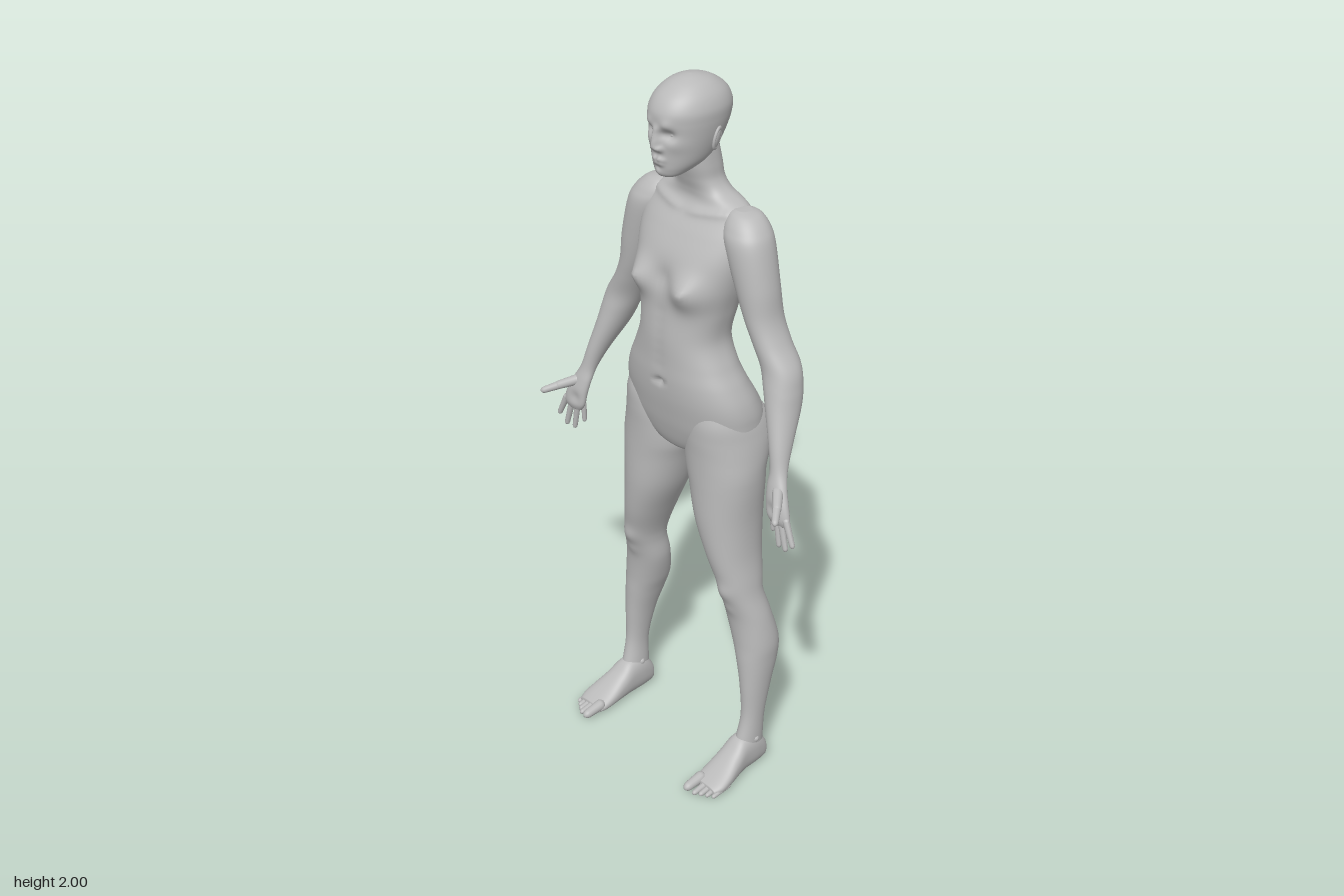
import * as THREE from 'three';

const skin = new THREE.MeshStandardMaterial({ color: 0xbababa });
skin.name = 'plain grey';

// Catmull-Rom blend of four numbers
const blend = (a, b, c, d, t) =>
  0.5 * (2 * b + (c - a) * t + (2 * a - 5 * b + 4 * c - d) * t * t + (3 * b - a - 3 * c + d) * t * t * t);

// Skins a row of rounded sections [height, x0, x1, front, back].
// axis 'y': rings lie flat and front/back are z; axis 'z': rings stand up and front/back are top/bottom y.
// bumps: [face (1 front, -1 back), x, height, radius, push], applied on both halves.
function loft(name, sections, { side = 1, axis = 'y', power = 2.1, seg = 48, steps = 7, bumps = [] } = {}) {
  const pos = [], index = [], rows = [];
  const at = (i) => sections[Math.min(Math.max(i, 0), sections.length - 1)];
  for (let i = 0; i < sections.length - 1; i++) {
    for (let k = 0; k < steps; k++) {
      rows.push(at(i).map((_, c) => blend(at(i - 1)[c], at(i)[c], at(i + 1)[c], at(i + 2)[c], k / steps)));
    }
  }
  rows.push(at(sections.length));
  const put = (x, s, d) => (axis === 'y' ? pos.push(side * x, s, d) : pos.push(side * x, d, s));
  const round = (v) => Math.sign(v) * Math.abs(v) ** (2 / power);
  for (const [s, x0, x1, f, b] of rows) {
    for (let j = 0; j < seg; j++) {
      const angle = (j / seg) * Math.PI * 2, sin = Math.sin(angle);
      const x = (x0 + x1) / 2 + ((x1 - x0) / 2) * round(Math.cos(angle));
      let d = (f + b) / 2 + ((f - b) / 2) * round(sin);
      for (const [face, bx, bs, r, push] of bumps) {
        const q = ((Math.abs(x) - bx) ** 2 + (s - bs) ** 2) / (r * r);
        if (q < 9 && face * sin > 0) d += face * push * Math.exp(-q) * Math.min(1, 2 * face * sin);
      }
      put(x, s, d);
    }
  }
  const first = rows[0], last = rows[rows.length - 1];
  const flip = (last[0] > first[0]) === (axis === 'y') ? side > 0 : side < 0;
  const tri = (a, b, c) => (flip ? index.push(a, c, b) : index.push(a, b, c));
  const n = rows.length, start = n * seg, end = start + 1;
  for (const [s, x0, x1, f, b] of [first, last]) put((x0 + x1) / 2, s, (f + b) / 2);
  for (let j = 0; j < seg; j++) {
    const k = (j + 1) % seg;
    for (let i = 0; i < n - 1; i++) {
      const a = i * seg + j, b = i * seg + k;
      tri(a, b, a + seg);
      tri(b, b + seg, a + seg);
    }
    tri(start, k, j);
    tri(end, (n - 1) * seg + j, (n - 1) * seg + k);
  }
  const geo = new THREE.BufferGeometry();
  geo.setAttribute('position', new THREE.Float32BufferAttribute(pos, 3));
  geo.setIndex(index);
  geo.computeVertexNormals();
  return named(name, geo);
}

function named(name, geo) {
  const mesh = new THREE.Mesh(geo, skin);
  mesh.name = name;
  return mesh;
}

// Tapered finger or toe between two points
function digit(name, from, to, r, side) {
  const a = new THREE.Vector3(side * from[0], from[1], from[2]);
  const b = new THREE.Vector3(side * to[0], to[1], to[2]);
  const len = a.distanceTo(b);
  const geo = new THREE.CapsuleGeometry(r, Math.max(len - r, 0.001), 6, 14, 6);
  const p = geo.attributes.position;
  for (let i = 0; i < p.count; i++) {
    const k = 1 - 0.22 * (p.getY(i) / len + 0.5);
    p.setXYZ(i, p.getX(i) * k, p.getY(i), p.getZ(i) * k);
  }
  geo.computeVertexNormals();
  const mesh = named(name, geo);
  mesh.position.copy(a).lerp(b, 0.5);
  mesh.quaternion.setFromUnitVectors(new THREE.Vector3(0, 1, 0), b.sub(a).normalize());
  return mesh;
}

// Symmetric section: half width, front, back
const even = (list) => list.map(([y, w, f, b]) => [y, -w, w, f, b]);

function makeTorso() {
  const bumps = [
    [1, 0.085, 1.465, 0.045, 0.032], [1, 0.087, 1.468, 0.01, 0.006],   // chest
    [1, 0, 1.19, 0.01, -0.014], [1, 0, 1.48, 0.03, -0.008],            // navel, breastbone
    [-1, 0.09, 1.55, 0.05, 0.008], [-1, 0.08, 1.07, 0.07, 0.022],      // shoulder blades, seat
  ];
  for (let y = 1.0; y < 1.13; y += 0.03) bumps.push([-1, 0, y, 0.022, -0.022]);  // cleft
  for (let y = 1.2; y < 1.6; y += 0.035) bumps.push([-1, 0, y, 0.028, -0.007]);  // spine groove
  for (let y = 1.24; y < 1.4; y += 0.03) bumps.push([1, 0, y, 0.016, -0.002]);   // belly line
  for (let i = 0; i < 7; i++) bumps.push([1, 0.025 + i * 0.02, 1.65 + i * 0.003, 0.011, 0.006]); // collarbones
  return loft('torso', even([
    [0.955, 0.02, -0.02, -0.08], [0.975, 0.08, 0.025, -0.12], [1.0, 0.15, 0.043, -0.148],
    [1.05, 0.205, 0.058, -0.17], [1.1, 0.212, 0.068, -0.17], [1.15, 0.204, 0.076, -0.152],
    [1.2, 0.183, 0.08, -0.13], [1.25, 0.156, 0.08, -0.116], [1.32, 0.129, 0.08, -0.112],
    [1.4, 0.14, 0.072, -0.128], [1.47, 0.158, 0.066, -0.142], [1.54, 0.172, 0.052, -0.15],
    [1.6, 0.178, 0.022, -0.15], [1.645, 0.172, -0.008, -0.145], [1.675, 0.14, -0.024, -0.136],
    [1.7, 0.088, -0.024, -0.126], [1.73, 0.064, -0.016, -0.118], [1.77, 0.059, -0.006, -0.113],
    [1.83, 0.055, 0.0, -0.1],
  ]), { power: 2.3, seg: 80, steps: 8, bumps });
}

function makeHead() {
  const head = new THREE.Group();
  head.name = 'head';
  const bumps = [
    [1, 0, 1.885, 0.011, 0.006], [1, 0, 1.87, 0.011, 0.011], [1, 0, 1.855, 0.011, 0.013],
    [1, 0, 1.841, 0.011, 0.014], [1, 0.012, 1.837, 0.008, 0.009],        // nose
    [1, 0.033, 1.875, 0.015, -0.012], [1, 0.014, 1.875, 0.01, -0.005],   // eye sockets
    [1, 0.03, 1.9, 0.014, 0.005], [1, 0.05, 1.85, 0.02, 0.005],          // brows, cheekbones
    [1, 0.007, 1.81, 0.007, 0.007], [1, 0.018, 1.808, 0.007, 0.004],     // upper lip
    [1, 0, 1.798, 0.009, 0.006], [1, 0.014, 1.797, 0.007, 0.004],        // lower lip
    [1, 0, 1.786, 0.008, -0.004], [1, 0, 1.771, 0.014, 0.004],           // chin
  ];
  head.add(loft('skull and face', even([
    [1.755, 0.016, 0.055, 0.02], [1.764, 0.034, 0.069, 0.0], [1.78, 0.05, 0.075, -0.045],
    [1.8, 0.063, 0.077, -0.082], [1.83, 0.073, 0.079, -0.108], [1.865, 0.081, 0.081, -0.128],
    [1.9, 0.086, 0.084, -0.142], [1.93, 0.086, 0.081, -0.143], [1.96, 0.074, 0.062, -0.128],
    [1.984, 0.051, 0.029, -0.095], [1.996, 0.025, -0.002, -0.06], [2.0, 0.004, -0.026, -0.034],
  ]), { seg: 120, steps: 11, bumps }));
  for (const side of [1, -1]) {
    const eye = named('eye', new THREE.SphereGeometry(0.011, 20, 14));
    eye.position.set(side * 0.032, 1.874, 0.053);
    const ear = new THREE.Group();
    ear.name = 'ear';
    const bowl = named('ear bowl', new THREE.SphereGeometry(1, 20, 14));
    bowl.scale.set(0.006, 0.026, 0.014);
    const rim = named('ear rim', new THREE.TorusGeometry(0.016, 0.004, 8, 28));
    rim.rotation.y = Math.PI / 2;
    rim.scale.set(0.9, 1.6, 1);
    ear.add(bowl, rim);
    ear.position.set(side * 0.089, 1.857, -0.036);
    ear.rotation.set(-0.15, side * 0.35, -side * 0.12);
    head.add(eye, ear);
  }
  return head;
}

function makeArm(side) {
  const arm = new THREE.Group();
  arm.name = side > 0 ? 'left arm' : 'right arm';
  arm.add(loft('arm and palm', [
    [1.678, 0.125, 0.165, -0.055, -0.095], [1.668, 0.11, 0.195, -0.035, -0.115],
    [1.64, 0.105, 0.224, -0.014, -0.126], [1.6, 0.115, 0.243, -0.002, -0.128],
    [1.5, 0.155, 0.266, -0.004, -0.121], [1.42, 0.188, 0.278, -0.01, -0.12],
    [1.36, 0.215, 0.304, -0.015, -0.121], [1.3, 0.242, 0.343, -0.018, -0.121],
    [1.25, 0.262, 0.357, -0.01, -0.115], [1.2, 0.284, 0.365, 0.0, -0.1],
    [1.12, 0.322, 0.379, 0.016, -0.052], [1.06, 0.344, 0.391, 0.026, -0.018],
    [1.02, 0.348, 0.409, 0.038, 0.002], [0.98, 0.354, 0.427, 0.048, 0.012],
    [0.945, 0.36, 0.437, 0.05, 0.017], [0.925, 0.372, 0.432, 0.044, 0.022],
  ], { side, bumps: [[-1, 0.29, 1.3, 0.025, 0.005], [1, 0.385, 0.965, 0.018, -0.006]] }));
  const fingers = [
    ['index finger', [0.429, 0.95, 0.037], [0.459, 0.884, 0.041], 0.0095],
    ['middle finger', [0.41, 0.94, 0.035], [0.432, 0.86, 0.038], 0.0095],
    ['ring finger', [0.391, 0.94, 0.031], [0.404, 0.858, 0.033], 0.009],
    ['little finger', [0.371, 0.945, 0.026], [0.372, 0.888, 0.024], 0.008],
    ['thumb base', [0.388, 1.015, 0.026], [0.43, 0.994, 0.072], 0.015],
    ['thumb', [0.425, 0.996, 0.067], [0.455, 0.98, 0.103], 0.0115],
  ];
  for (const [name, from, to, r] of fingers) arm.add(digit(name, from, to, r, side));
  return arm;
}

function makeLeg(side) {
  const leg = new THREE.Group();
  leg.name = side > 0 ? 'left leg' : 'right leg';
  leg.add(loft('thigh and shin', [
    [1.15, 0.08, 0.18, 0.04, -0.1], [1.1, 0.04, 0.207, 0.054, -0.158],
    [1.05, 0.014, 0.22, 0.056, -0.184], [1.0, 0.006, 0.228, 0.054, -0.172],
    [0.95, 0.012, 0.232, 0.053, -0.15], [0.9, 0.028, 0.231, 0.053, -0.145],
    [0.8, 0.056, 0.225, 0.053, -0.139], [0.7, 0.1, 0.228, 0.044, -0.125],
    [0.62, 0.132, 0.24, 0.028, -0.112], [0.57, 0.142, 0.249, 0.016, -0.107],
    [0.5, 0.142, 0.268, -0.002, -0.122], [0.42, 0.16, 0.281, -0.009, -0.139],
    [0.36, 0.181, 0.28, -0.009, -0.134], [0.28, 0.203, 0.275, -0.01, -0.11],
    [0.18, 0.216, 0.27, -0.01, -0.086], [0.1, 0.212, 0.27, 0.008, -0.083],
    [0.05, 0.212, 0.268, 0.025, -0.086], [0.02, 0.216, 0.264, 0.02, -0.08],
  ], { side, bumps: [[1, 0.19, 0.59, 0.028, 0.009], [1, 0.195, 0.535, 0.018, 0.004], [-1, 0.195, 0.58, 0.03, -0.006]] }));
  leg.add(loft('foot', [
    [-0.095, 0.228, 0.25, 0.045, 0.018], [-0.085, 0.213, 0.264, 0.075, 0.005],
    [-0.05, 0.205, 0.272, 0.11, 0], [0, 0.201, 0.277, 0.112, 0], [0.04, 0.199, 0.285, 0.083, 0],
    [0.08, 0.197, 0.294, 0.056, 0], [0.115, 0.198, 0.296, 0.037, 0], [0.14, 0.203, 0.286, 0.026, 0.003],
  ], { side, axis: 'z', power: 2.4 }));
  const ankle = named('ankle bones', new THREE.SphereGeometry(1, 20, 14));
  ankle.scale.set(0.034, 0.018, 0.018);
  ankle.position.set(side * 0.241, 0.1, -0.04);
  leg.add(ankle);
  // Toes shorten outwards
  for (let i = 0; i < 5; i++) {
    const r = i ? 0.0105 - i * 0.0006 : 0.0165, x = i ? 0.226 + i * 0.0155 : 0.216;
    const tip = i ? 0.185 - i * 0.01 : 0.179;
    leg.add(digit(i ? 'toe' : 'big toe', [x, r + 0.009, tip - 0.06], [x, r, tip], r, side));
  }
  return leg;
}

export function createModel() {
  const figure = new THREE.Group();
  figure.name = 'standing figure';
  figure.add(makeTorso(), makeHead());
  for (const side of [1, -1]) figure.add(makeArm(side), makeLeg(side));
  return figure;
}
